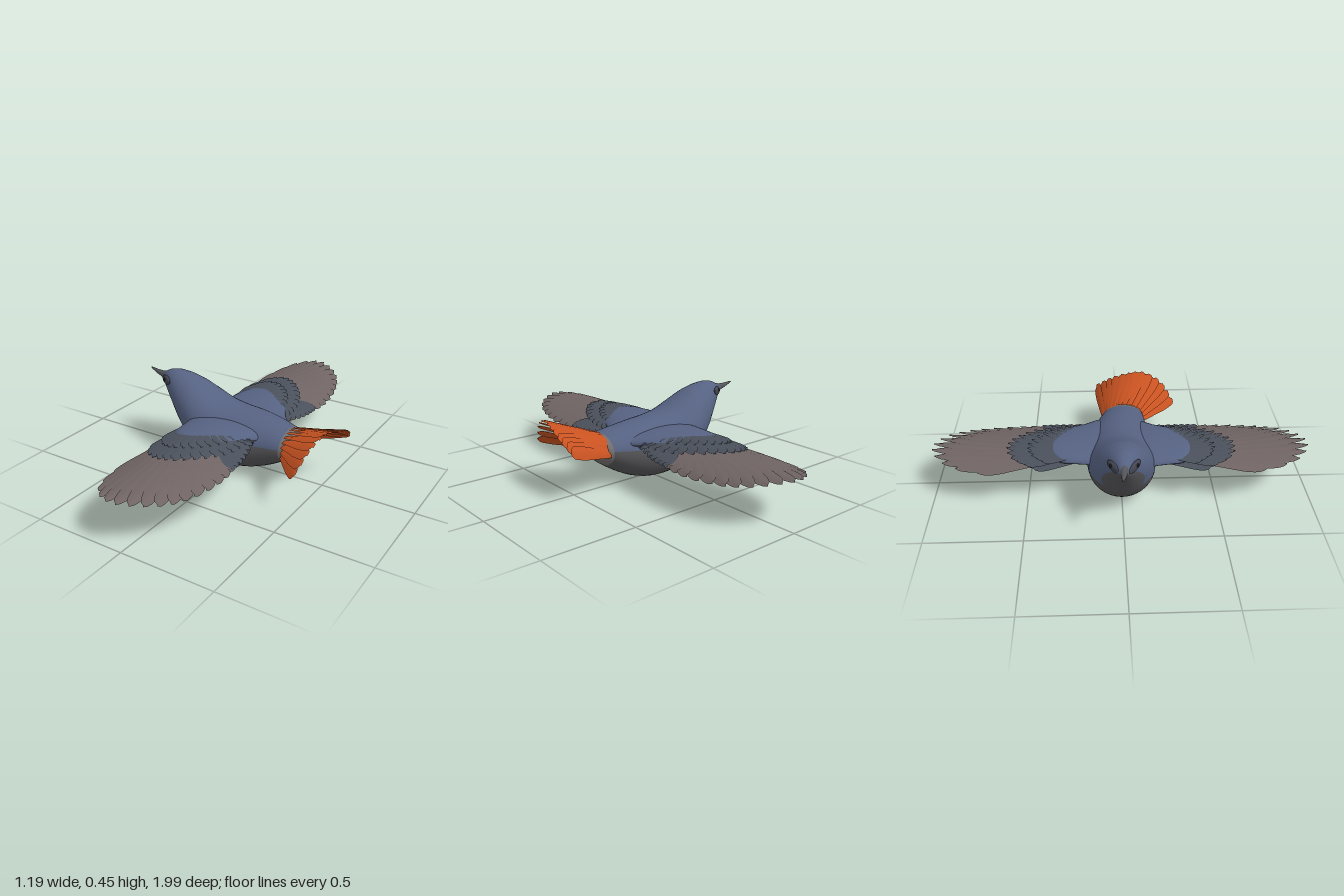
import * as THREE from 'three';
import { mergeGeometries } from 'three/addons/utils/BufferGeometryUtils.js';

const V = (x, y, z) => new THREE.Vector3(x, y, z);
const curve = pts => new THREE.CatmullRomCurve3(pts.map(p => V(...p)));

const paint = (name, color) => {
  const m = new THREE.MeshStandardMaterial({ color, side: THREE.DoubleSide });
  m.name = name;
  return m;
};

// Smooth closed-ring loft; pick(i, j) gives the material slot of each quad
function loft(rings, slots, pick) {
  const n = rings[0].length, lists = Array.from({ length: slots }, () => []);
  const pos = rings.flat().flatMap(p => [p.x, p.y, p.z]);
  for (let i = 0; i < rings.length - 1; i++)
    for (let j = 0; j < n; j++) {
      const a = i * n + j, b = i * n + (j + 1) % n;
      lists[pick(i, j)].push(a, a + n, b, b, a + n, b + n);
    }
  const g = new THREE.BufferGeometry();
  g.setAttribute('position', new THREE.Float32BufferAttribute(pos, 3));
  g.setIndex(lists.flat());
  let start = 0;
  lists.forEach((l, k) => { g.addGroup(start, l.length, k); start += l.length; });
  g.computeVertexNormals();
  return g;
}

// Thin feather with a raised shaft and rounded tip; place() may bend its points
function feather(root, tip, halfWidth, up, round, place = p => p) {
  const steps = 12, across = [-1, -0.5, 0, 0.5, 1], pos = [], idx = [];
  const side = tip.clone().sub(root).cross(up).normalize();
  for (let i = 0; i <= steps; i++) {
    const t = 1 - (1 - i / steps) ** 1.5;
    const end = Math.max(0, (t - round) / (1 - round));
    const w = halfWidth * (0.5 + 0.5 * Math.min(1, t * 1.6)) * Math.sqrt(Math.max(0, 1 - end * end));
    across.forEach(v => {
      const p = root.clone().lerp(tip, t).addScaledVector(side, v * w)
        .addScaledVector(up, 0.005 * (1 - Math.abs(v)));
      pos.push(...place(p, v).toArray());
    });
  }
  const n = across.length;
  for (let i = 0; i < steps; i++)
    for (let j = 0; j < n - 1; j++) {
      const a = i * n + j;
      idx.push(a, a + 1, a + n, a + 1, a + n + 1, a + n);
    }
  const g = new THREE.BufferGeometry();
  g.setAttribute('position', new THREE.Float32BufferAttribute(pos, 3));
  g.setIndex(idx);
  g.computeVertexNormals();
  return g;
}

export function createModel() {
  const model = new THREE.Group();
  const blue = paint('slate blue plumage', 0x566282);
  const belly = paint('grey belly', 0x555558);
  const rump = paint('pale grey rump', 0x74706f);
  const slate = paint('dark slate coverts', 0x4a505b);
  const brown = paint('brown flight feathers', 0x6f6363);
  const orange = paint('orange tail', 0xc85221);
  const horn = paint('grey beak', 0x55565b);
  const mask = paint('dark face mask', 0x42454f);
  const black = paint('black eye', 0x191a1e);
  const add = (parent, name, geo, mat) => {
    const m = new THREE.Mesh(geo, mat);
    m.name = name;
    parent.add(m);
    return m;
  };

  // Body stations: x, top, bottom, half width, z centre, colour boundary height
  const stations = [
    [-0.515, 0.413, 0.388, 0.012, -0.005, 0.402], [-0.49, 0.424, 0.366, 0.026, -0.003, 0.392],
    [-0.45, 0.446, 0.32, 0.054, 0, 0.372], [-0.40, 0.455, 0.25, 0.086, 0, 0.33],
    [-0.35, 0.45, 0.177, 0.114, 0, 0.27], [-0.33, 0.446, 0.15, 0.124, 0, 0.21],
    [-0.27, 0.428, 0.085, 0.149, 0, 0.203], [-0.2, 0.394, 0.038, 0.17, 0, 0.2],
    [-0.1, 0.35, 0.01, 0.18, 0, 0.2], [0, 0.331, 0.001, 0.18, 0, 0.2],
    [0.1, 0.322, 0.014, 0.173, 0, 0.203], [0.2, 0.31, 0.049, 0.15, 0.005, 0.207],
    [0.3, 0.29, 0.107, 0.125, 0.02, 0.213], [0.345, 0.278, 0.142, 0.103, 0.027, 0.215],
    [0.375, 0.25, 0.178, 0.055, 0.03, 0.214], [0.383, 0.217, 0.211, 0.004, 0.03, 0.214]];
  const cols = [1, 2, 3, 4, 5].map(c => new THREE.SplineCurve(stations.map(r => new THREE.Vector2(r[0], r[c]))));
  const rings = [], half = 20;
  for (let i = 0; i <= 75; i++) {
    const [top, bot, hw, cz, split] = cols.map(c => c.getPoint(i / 75).y);
    const x = cols[0].getPoint(i / 75).x, cy = (top + bot) / 2, h = (top - bot) / 2;
    const t0 = Math.asin(THREE.MathUtils.clamp((split - cy) / h, -0.95, 0.95));
    const ring = [];
    for (let j = 0; j < 2 * half; j++) {
      const t = j < half ? t0 + (Math.PI - 2 * t0) * j / half
        : Math.PI - t0 + (Math.PI + 2 * t0) * (j - half) / half;
      ring.push(V(x, cy + h * Math.sin(t), cz + hw * Math.cos(t)));
    }
    rings.push(ring);
  }
  add(model, 'body', loft(rings, 3, (i, j) => rings[i][0].x > 0.305 ? 2 : j < half ? 0 : 1), [blue, belly, rump]);

  // Beak
  const beakRings = [[-0.475, 0.402, 0.024, 0.03], [-0.51, 0.404, 0.017, 0.019], [-0.55, 0.411, 0.011, 0.012],
    [-0.585, 0.421, 0.006, 0.006], [-0.6, 0.425, 0.0005, 0.001]].map(([x, y, w, h], k) =>
    Array.from({ length: 14 }, (_, j) => {
      const t = j / 14 * Math.PI * 2;
      return V(x, y + h * Math.sin(t), -0.003 * k + w * Math.cos(t));
    }));
  add(model, 'beak', loft(beakRings, 1, () => 0), [horn]);

  // Face masks and eyes
  for (const s of [1, -1]) {
    const patch = add(model, 'faceMask', new THREE.SphereGeometry(1, 20, 12), mask);
    patch.scale.set(0.053, 0.025, 0.014);
    patch.position.set(-0.447, 0.4, s * 0.05);
    patch.rotation.set(0, -s * 0.6, 0.1);
    const eye = add(model, 'eye', new THREE.SphereGeometry(0.011, 14, 10), black);
    eye.position.set(-0.445, 0.406, s * 0.061);
  }

  // Wings: feather fans given as [x, span] curves, laid on a cambered surface
  const lay = ([x, s]) => [x, 0, s];
  const fans = [
    ['primaryFeathers', brown, 16, 0.04, 0.7, 0,
      [[-0.17, 0.42], [-0.13, 0.42], [-0.06, 0.4], [0, 0.36], [0.05, 0.3], [0.06, 0.27]],
      [[-0.21, 0.75], [-0.17, 0.9], [-0.1, 0.975], [-0.02, 1], [0.06, 0.97], [0.13, 0.91], [0.18, 0.83],
        [0.21, 0.74], [0.23, 0.63], [0.238, 0.52], [0.232, 0.43]]],
    ['secondaryFeathers', slate, 9, 0.034, 0.75, 0.004,
      [[0.07, 0.3], [0.06, 0.22], [0.05, 0.13]],
      [[0.235, 0.42], [0.236, 0.35], [0.225, 0.27], [0.205, 0.19], [0.19, 0.14]]],
    ['coverts', slate, 16, 0.032, 0.75, 0.014,
      [[-0.16, 0.28], [-0.1, 0.3], [-0.04, 0.26], [0.02, 0.18], [0.04, 0.12]],
      [[-0.19, 0.5], [-0.15, 0.57], [-0.08, 0.6], [-0.01, 0.585], [0.06, 0.53], [0.12, 0.45], [0.16, 0.36],
        [0.18, 0.26], [0.185, 0.17]]],
    ['smallCoverts', slate, 14, 0.028, 0.7, 0.022,
      [[-0.16, 0.25], [-0.1, 0.27], [-0.04, 0.23], [0.02, 0.15]],
      [[-0.185, 0.41], [-0.14, 0.47], [-0.08, 0.49], [0, 0.46], [0.07, 0.39], [0.12, 0.3], [0.14, 0.2]]],
    ['underCoverts', slate, 16, 0.034, 0.75, -0.012,
      [[-0.16, 0.25], [-0.1, 0.27], [-0.04, 0.23], [0.02, 0.16], [0.04, 0.12]],
      [[-0.19, 0.46], [-0.14, 0.53], [-0.07, 0.55], [0.02, 0.51], [0.1, 0.41], [0.15, 0.28], [0.17, 0.16]]]];
  // Shoulder stations: span, front x, back x, centre y, half height
  const arm = [[0.06, -0.24, 0.25, 0.235, 0.055], [0.13, -0.215, 0.215, 0.24, 0.056], [0.18, -0.203, 0.175, 0.245, 0.053],
    [0.25, -0.196, 0.145, 0.247, 0.048], [0.31, -0.188, 0.115, 0.248, 0.044], [0.35, -0.165, 0.08, 0.25, 0.038],
    [0.375, -0.13, 0.04, 0.252, 0.03], [0.388, -0.06, -0.03, 0.255, 0.01]];
  for (const s of [1, -1]) {
    const wing = new THREE.Group();
    wing.name = s > 0 ? 'leftWing' : 'rightWing';
    wing.position.x = s > 0 ? -0.018 : 0.004;
    model.add(wing);
    for (const [name, mat, count, w, round, layer, roots, tips] of fans) {
      const rc = curve(roots.map(lay)), tc = curve(tips.map(lay)), parts = [];
      for (let i = 0; i < count; i++) {
        const u = i / (count - 1);
        parts.push(feather(rc.getPoint(u), tc.getPoint(u), w, V(0, 1, 0), round, (p, v) => V(p.x,
          p.y + 0.268 - 0.018 * p.z - 0.9 * (p.x + 0.01) ** 2 + layer + 0.005 * v, p.z * s)));
      }
      add(wing, name, mergeGeometries(parts), mat);
    }
    const armRings = arm.map(([z, a, b, y, h]) => Array.from({ length: 32 }, (_, j) => {
      const t = j / 32 * Math.PI * 2;
      return V((a + b) / 2 + (b - a) / 2 * Math.cos(t), y + (j > 16 ? 0.6 : 1) * h * Math.sin(t), z * s);
    }));
    add(wing, 'shoulder', loft(armRings, 2, (i, j) => j < 16 ? 0 : 1), [blue, slate]);
  }

  // Arched, slightly twisted tail fan
  const roots = curve([[0.325, 0.2, -0.085], [0.325, 0.262, -0.05], [0.325, 0.285, 0.03], [0.33, 0.255, 0.11], [0.335, 0.19, 0.14]]);
  const tips = curve([[0.585, 0.275, -0.12], [0.592, 0.315, -0.04], [0.582, 0.352, 0.06], [0.565, 0.368, 0.15],
    [0.54, 0.32, 0.25], [0.505, 0.22, 0.322]]);
  const blades = [];
  for (let i = 0; i < 13; i++) {
    const tip = tips.getPoint(i / 12);
    const up = V(0, tip.y - 0.1, tip.z - 0.1).normalize();
    blades.push(feather(roots.getPoint(i / 12), tip, 0.034, up, 0.88, (p, v) => p.addScaledVector(up, 0.005 * v)));
  }
  add(model, 'tailFeathers', mergeGeometries(blades), orange);
  return model;
}
